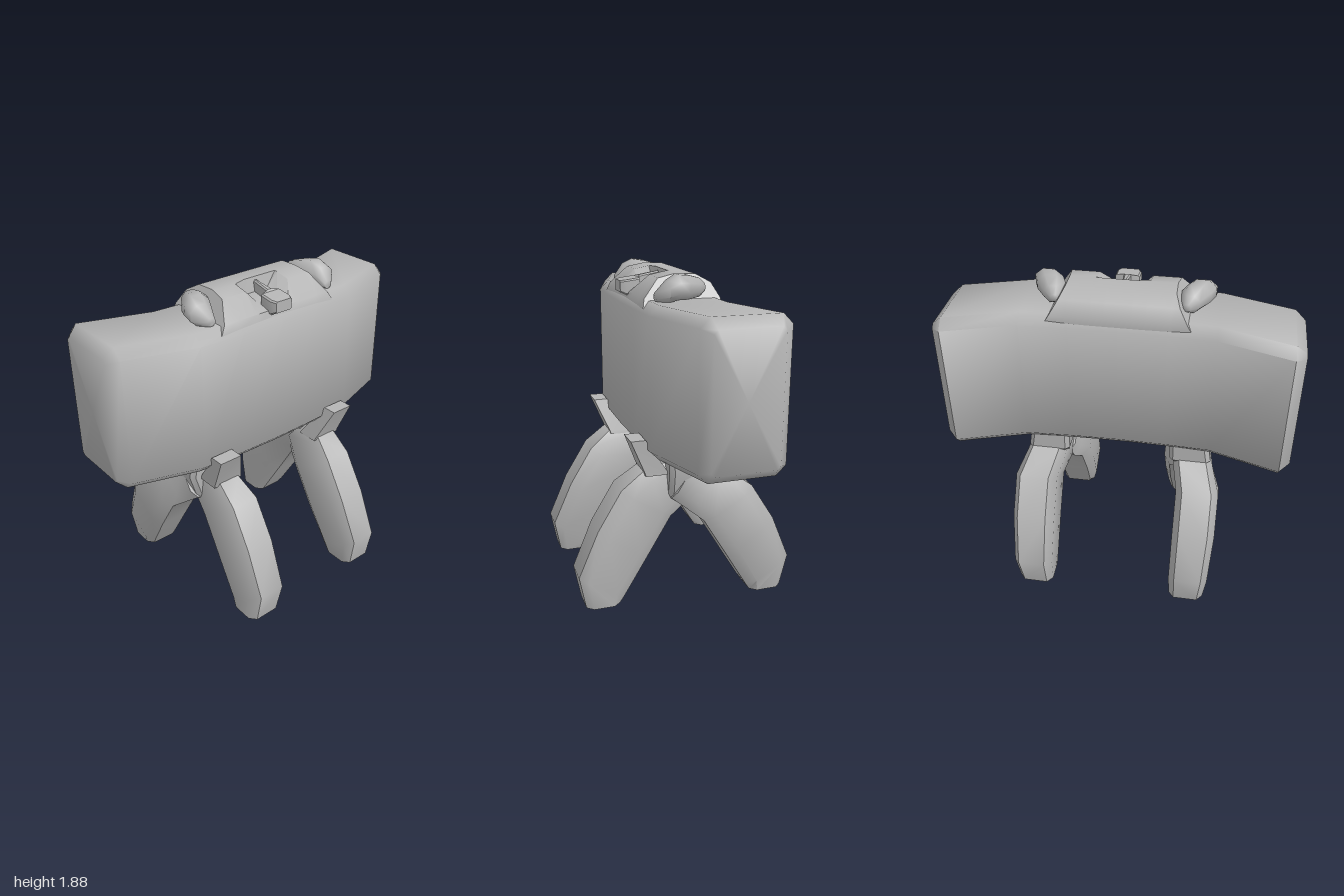
import * as THREE from 'three';
import { toCreasedNormals } from 'three/addons/utils/BufferGeometryUtils.js';

const grey = new THREE.MeshStandardMaterial({ color: 0xb4b4b4 });
grey.name = 'plain grey';

// Skins closed rings of [x, y, z] points, caps both ends and faces everything outward.
function loft(rings, crease = 1.0) {
  const n = rings[0].length, pts = rings.flat(), idx = [];
  for (let r = 0; r < rings.length - 1; r++) {
    for (let i = 0; i < n; i++) {
      const a = r * n + i, b = r * n + (i + 1) % n;
      idx.push(a, b, b + n, a, b + n, a + n);
    }
  }
  const cap = (start, flip) => {
    const ring = pts.slice(start, start + n);
    const c = pts.push([0, 1, 2].map(k => ring.reduce((s, p) => s + p[k], 0) / n)) - 1;
    for (let i = 0; i < n; i++) {
      const a = start + i, b = start + (i + 1) % n;
      idx.push(...(flip ? [c, b, a] : [c, a, b]));
    }
  };
  cap(0, true);
  cap((rings.length - 1) * n, false);
  const v = pts.map(p => new THREE.Vector3(...p));
  let volume = 0;
  for (let i = 0; i < idx.length; i += 3) {
    volume += v[idx[i]].dot(v[idx[i + 1]].clone().cross(v[idx[i + 2]]));
  }
  if (volume < 0) idx.reverse();
  const g = new THREE.BufferGeometry().setFromPoints(v);
  g.setIndex(idx);
  return toCreasedNormals(g, crease);
}

// Rectangle with cut corners, as [u, v] pairs.
const octagon = (u0, u1, v0, v1, c) => [
  [u0 + c, v0], [u1 - c, v0], [u1, v0 + c], [u1, v1 - c],
  [u1 - c, v1], [u0 + c, v1], [u0, v1 - c], [u0, v0 + c],
];

// Curved case: [x, back z, front z, bottom y, top y, corner cut]
function bodyGeometry() {
  const half = [
    [0.27, -0.247, 0.24, 0.89, 1.74, 0.055], [0.54, -0.26, 0.228, 0.89, 1.74, 0.055],
    [0.94, -0.39, 0.1, 0.89, 1.74, 0.055], [1, -0.33, 0.05, 0.945, 1.685, 0.02],
  ];
  const stations = [
    ...half.slice().reverse().map(([x, ...s]) => [-x, ...s]),
    [0, -0.242, 0.245, 0.89, 1.74, 0.055],
    ...half,
  ];
  return loft(stations.map(([x, ...s]) => octagon(...s).map(([z, y]) => [x, y, z])));
}

// Arched saddle on top, with a notch cut into the middle of its front
function saddleGeometry() {
  const arch = [
    [0.22, 1.7], [0.205, 1.75], [0.11, 1.85], [0.02, 1.868], [0, 1.87],
    [-0.11, 1.865], [-0.19, 1.82], [-0.23, 1.74], [-0.23, 1.7],
  ];
  const notch = arch.map(([z, y], i) => [z, i === 2 ? 1.775 : i === 3 ? 1.79 : y]);
  const ring = (x, profile) => profile.map(([z, y]) => [x, y, z]);
  const end = s => arch.map(([z, y]) => [s * (0.4 - 0.6 * (y - 1.7)), y, z]);
  return loft([
    end(-1), ring(-0.28, arch), ring(-0.15, arch), ring(-0.075, notch),
    ring(0.075, notch), ring(0.15, arch), ring(0.28, arch), end(1),
  ], 0.8);
}

// Sight: a thin ridge that widens into a block at the front
function sightGeometry() {
  const s = [
    [0.01, 0.012, 1.76, 1.855], [0.13, 0.02, 1.73, 1.835], [0.14, 0.068, 1.73, 1.825],
    [0.22, 0.07, 1.73, 1.815], [0.252, 0.055, 1.745, 1.81],
  ];
  return loft(s.map(([z, w, y0, y1]) => octagon(-w, w, y0, y1, 0.008).map(([x, y]) => [x, y, z])), 0.6);
}

// Leaning knob beside the saddle: [z, centre x, centre y, half width, half height]
function knobGeometry(side) {
  const s = [
    [-0.14, 0.36, 1.8, 0.02, 0.02], [-0.1, 0.375, 1.803, 0.05, 0.05],
    [-0.02, 0.4, 1.81, 0.08, 0.065], [0.04, 0.425, 1.815, 0.08, 0.067],
    [0.1, 0.44, 1.795, 0.068, 0.057], [0.16, 0.42, 1.765, 0.025, 0.022],
  ];
  return loft(s.map(([z, cx, cy, w, h]) => Array.from({ length: 8 }, (_, i) => {
    const a = (i + 0.5) * Math.PI / 4;
    return [side * (cx + w * Math.cos(a) * 1.08), cy + h * Math.sin(a) * 1.08, z];
  })), 1.3);
}

// Leg skinned through stations: outer [z, y], inner [z, y], x from, x to
function legGeometry(side, dir, stations) {
  return loft(stations.map(([oz, oy, iz, iy, x0, x1]) =>
    octagon(x0, x1, 0, 1, 0).map(([x, t], i) => {
      const edge = [0, 1, 4, 5].includes(i);
      const cut = (x1 - x0) * 0.16, m = (x0 + x1) / 2;
      const px = edge ? x + Math.sign(m - x) * cut : x;
      const pt = edge ? t : t < 0.5 ? 0.2 : 0.8;
      return [side * px, iy + (oy - iy) * pt, dir * (iz + (oz - iz) * pt)];
    })), 0.75);
}

const frontLeg = [
  [0.59, 0.005, 0.39, 0.005, 0.285, 0.5], [0.627, 0.2, 0.36, 0.05, 0.265, 0.505],
  [0.51, 0.47, 0.22, 0.28, 0.25, 0.505], [0.37, 0.7, 0.08, 0.51, 0.25, 0.5],
  [0.24, 0.8, 0, 0.575, 0.29, 0.485], [0.1, 0.84, -0.05, 0.66, 0.31, 0.47],
];
const rearLeg = [
  [0.59, 0.005, 0.39, 0.005, 0.37, 0.58], [0.627, 0.2, 0.36, 0.05, 0.365, 0.6],
  [0.51, 0.47, 0.22, 0.28, 0.365, 0.62], [0.37, 0.69, 0.08, 0.51, 0.365, 0.62],
  [0.22, 0.8, 0, 0.57, 0.33, 0.57], [0.05, 0.87, -0.09, 0.64, 0.32, 0.54],
];

// Hinge block between the legs and the case
function hipGeometry(side) {
  const s = [
    [0.63, -0.05, 0.1, 0.36, 0.5], [0.8, -0.21, 0.11, 0.305, 0.555], [0.95, -0.21, 0.11, 0.305, 0.53],
  ];
  return loft(s.map(([y, z0, z1, x0, x1]) =>
    octagon(x0, x1, z0, z1, 0.025).map(([x, z]) => [side * x, y, z])), 0.6);
}

// Tab leaning forward in front of the case
function tabGeometry(side) {
  const s = [
    [0.78, 0.1, 0.235, 0.295, 0.49], [0.8, 0.11, 0.24, 0.3, 0.49], [1.0, 0.24, 0.325, 0.365, 0.505],
  ];
  return loft(s.map(([y, z0, z1, x0, x1]) =>
    [[x0, z0], [x1, z0], [x1, z1], [x0, z1]].map(([x, z]) => [side * x, y, z])), 0.4);
}

export function createModel() {
  const model = new THREE.Group();
  const add = (name, geometry) => {
    const mesh = new THREE.Mesh(geometry, grey);
    mesh.name = name;
    model.add(mesh);
  };
  add('curvedCase', bodyGeometry());
  add('topSaddle', saddleGeometry());
  add('sight', sightGeometry());
  for (const [side, label] of [[1, 'left'], [-1, 'right']]) {
    add(label + 'Knob', knobGeometry(side));
    add(label + 'FrontLeg', legGeometry(side, 1, frontLeg));
    add(label + 'RearLeg', legGeometry(side, -1, rearLeg));
    add(label + 'Hip', hipGeometry(side));
    add(label + 'Tab', tabGeometry(side));
  }
  return model;
}
